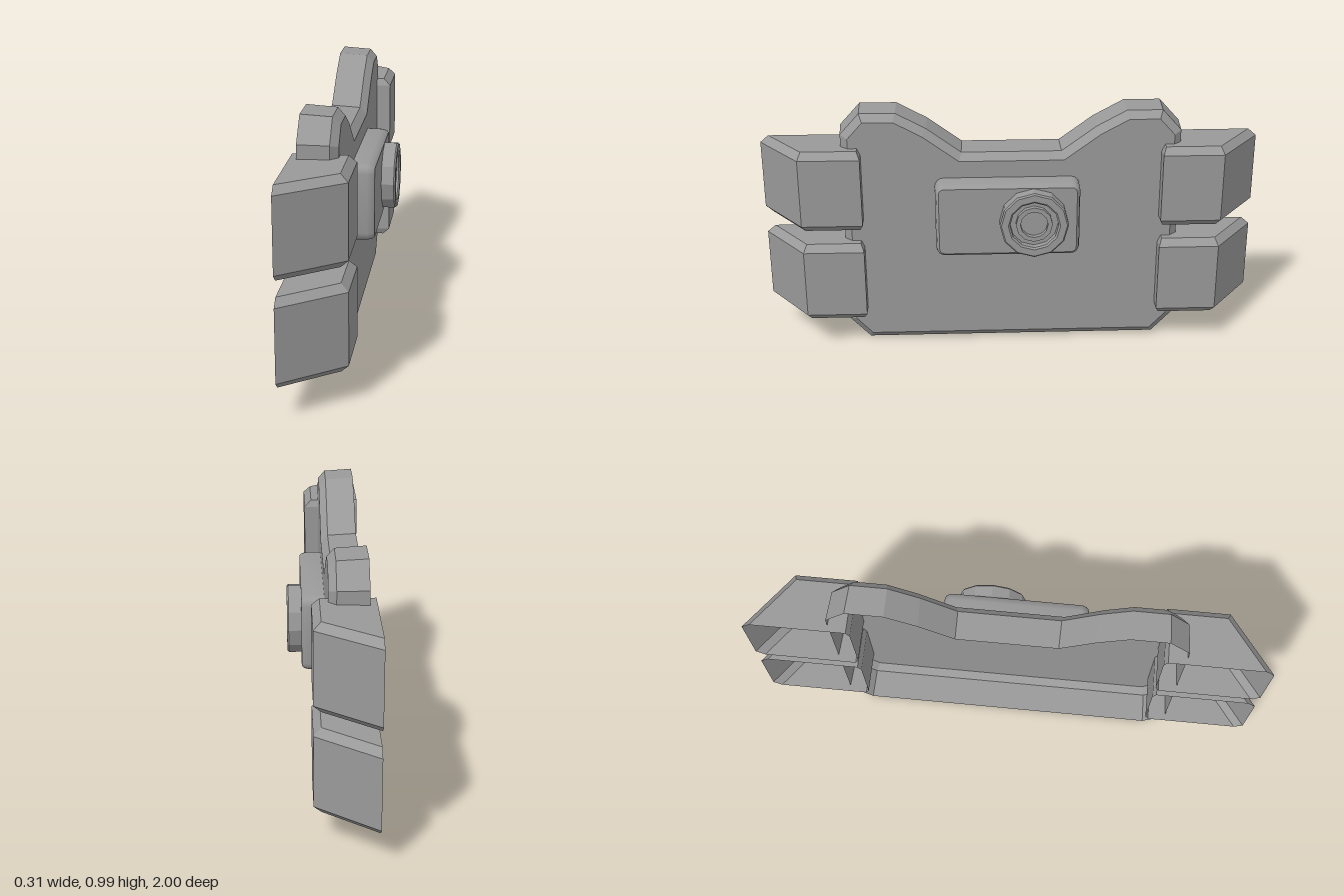
import * as THREE from 'three';
import { toCreasedNormals } from 'three/addons/utils/BufferGeometryUtils.js';

const paint = flat => new THREE.MeshStandardMaterial({
  color: 0x999999, flatShading: flat, side: THREE.DoubleSide,
});

function part(name, geometry, material) {
  const mesh = new THREE.Mesh(geometry, material);
  mesh.name = name;
  return mesh;
}

// Skin between successive loops of [x, y, z]; caps are triangles into a given loop
function skin(loops, closed, caps) {
  const n = loops[0].length, pos = [], idx = [];
  loops.forEach(loop => loop.forEach(p => pos.push(...p)));
  for (let k = 0; k < loops.length - 1; k++) {
    for (let i = 0; i < (closed ? n : n - 1); i++) {
      const j = (i + 1) % n;
      const a = k * n + i, b = k * n + j, c = b + n, d = a + n;
      idx.push(a, b, c, a, c, d);
    }
  }
  caps.forEach(({ loop, tris }) => tris.forEach(t => t.forEach(i => idx.push(loop * n + i))));
  const g = new THREE.BufferGeometry();
  g.setAttribute('position', new THREE.Float32BufferAttribute(pos, 3));
  g.setIndex(idx);
  const flat = g.toNonIndexed();
  flat.computeVertexNormals();
  return flat;
}

// Move every side of a counter-clockwise outline inward by d, with mitred corners
function inset(pts, d) {
  const n = pts.length;
  return pts.map((p, i) => {
    const e1 = p.clone().sub(pts[(i + n - 1) % n]).normalize();
    const e2 = pts[(i + 1) % n].clone().sub(p).normalize();
    const n1 = new THREE.Vector2(-e1.y, e1.x), n2 = new THREE.Vector2(-e2.y, e2.x);
    return n1.clone().add(n2).multiplyScalar(d / (1 + n1.dot(n2))).add(p);
  });
}

// Back-open slab facing +x; levels are [x, inset] from back to front
function makeSlab(outline, levels) {
  const rings = levels.map(([, d]) => inset(outline, d));
  const loops = rings.map((ring, k) => ring.map(p => [p.x, p.y, levels[k][0]]));
  const loop = levels.length - 1;
  const tris = THREE.ShapeUtils.triangulateShape(rings[loop], []);
  return skin(loops, true, [{ loop, tris }]).rotateY(Math.PI / 2);
}

// Shell with a chamfered front rim
function makePlate() {
  const half = [[0.59, 0], [0.675, 0.09], [0.675, 0.9], [0.595, 0.988],
    [0.45, 0.988], [0.33, 0.923], [0.195, 0.824]];
  const outline = [...half, ...half.slice().reverse().map(([u, y]) => [-u, y])]
    .map(([u, y]) => new THREE.Vector2(u, y));
  return part('plate', makeSlab(outline, [[-0.13, 0], [-0.015, 0.007], [0.013, 0.036]]), paint(true));
}

// Hollow corner block, open at the back, chamfered top and bottom
function makeBumper() {
  const full = [[-0.156, 1], [0.071, 0.83], [0.071, 0.59], [-0.156, 0.59]];
  const small = [[-0.156, 0.967], [0.043, 0.818], [0.043, 0.603], [-0.156, 0.603]];
  const loops = [[small, -0.166], [full, -0.138], [full, 0.138], [small, 0.166]]
    .map(([path, y]) => path.map(([x, z]) => [x, y, z]));
  return skin(loops, false, [
    { loop: 0, tris: [[0, 2, 1], [0, 3, 2]] },
    { loop: 3, tris: [[0, 1, 2], [0, 2, 3]] },
  ]);
}

// Rounded slab that carries the round boss, flush with the plate
function makeHousing() {
  const w = 0.286, h = 0.152, r = 0.035, steps = 4, outline = [];
  [[1, 1], [-1, 1], [-1, -1], [1, -1]].forEach(([sx, sy], q) => {
    for (let i = 0; i <= steps; i++) {
      const a = (q + i / steps) * Math.PI / 2;
      outline.push(new THREE.Vector2(
        sx * (w - r) + r * Math.cos(a), sy * (h - r) + r * Math.sin(a)));
    }
  });
  const slab = makeSlab(outline, [[0.013, 0], [0.072, 0.001], [0.092, 0.006], [0.1, 0.015]]);
  const mesh = part('housing', toCreasedNormals(slab, 0.7), paint(false));
  mesh.position.set(0, 0.568, 0.018);
  return mesh;
}

// Twelve-sided boss with a recess and an inner ring
function makeBoss() {
  const profile = [[0.135, 0.09], [0.135, 0.149], [0.129, 0.155], [0.102, 0.155], [0.095, 0.149],
    [0.095, 0.122], [0.072, 0.122], [0.072, 0.143], [0.054, 0.143], [0.054, 0.122], [0, 0.122]]
    .map(([r, x]) => new THREE.Vector2(r, x));
  const g = new THREE.LatheGeometry(profile, 12);
  g.rotateZ(-Math.PI / 2);
  const mesh = part('boss', g, paint(true));
  mesh.position.set(0, 0.569, -0.083);
  return mesh;
}

export function createModel() {
  const model = new THREE.Group();
  model.name = 'bumperPlate';
  model.add(makePlate(), makeHousing(), makeBoss());

  // Two bumpers at each end
  const bumper = makeBumper();
  for (const [level, y] of [['lower', 0.291], ['upper', 0.682]]) {
    for (const end of ['Front', 'Back']) {
      const mesh = part(level + end + 'Bumper', bumper, paint(true));
      mesh.position.y = y;
      if (end === 'Back') mesh.rotation.x = Math.PI;
      model.add(mesh);
    }
  }
  return model;
}
